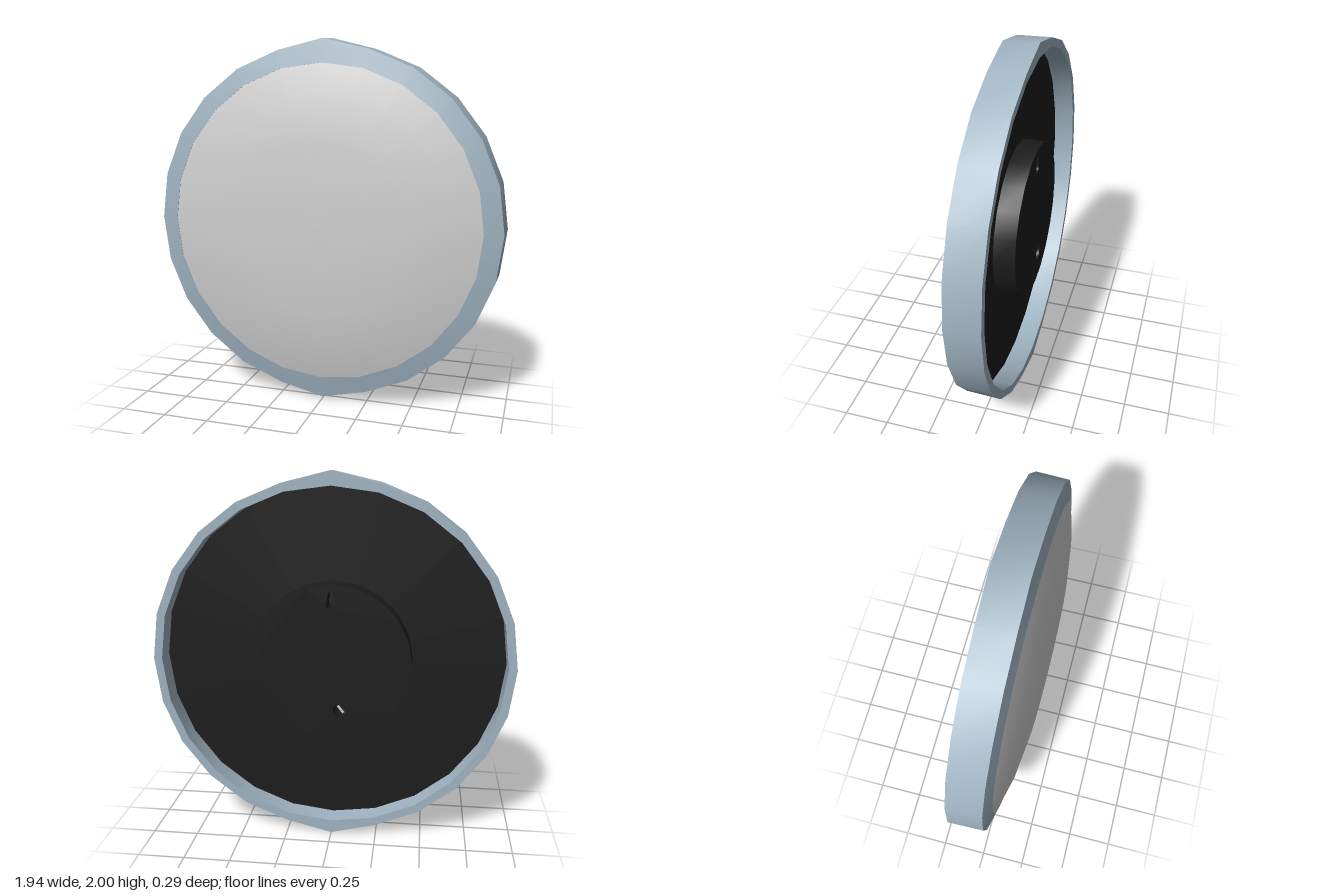
import * as THREE from 'three';
import { toCreasedNormals } from 'three/addons/utils/BufferGeometryUtils.js';

const SIDES = 24;
const rimBlue = new THREE.MeshStandardMaterial({ color: 0xa0b4c2 });
rimBlue.name = 'blueGreyRim';
const lensGrey = new THREE.MeshStandardMaterial({ color: 0xd0d0d0 });
lensGrey.name = 'paleLens';
const backBlack = new THREE.MeshStandardMaterial({ color: 0x1c1c1c });
backBlack.name = 'blackBack';

// Spins an (radius, z) profile about the z axis
function spin(profile, sides = SIDES) {
  const points = profile.map(([r, z]) => new THREE.Vector2(r, z));
  return new THREE.LatheGeometry(points, sides).rotateX(Math.PI / 2);
}

export function createModel() {
  const group = new THREE.Group();
  group.name = 'discLamp';
  const add = (name, geometry, material, x = 0, y = 1, z = 0) => {
    const mesh = new THREE.Mesh(geometry, material);
    mesh.name = name;
    mesh.position.set(x, y, z);
    group.add(mesh);
  };

  // Rim: outer wall, sloped front lip, hollow back
  const rim = spin([
    [0.97, -0.145], [0.965, 0.04], [0.865, 0.065], [0.865, 0.03],
    [0.925, 0.03], [0.925, -0.145], [0.97, -0.145],
  ]);
  // Outer wall peaks a little at the top and bottom seams
  const p = rim.attributes.position;
  for (let i = 0; i < p.count; i++) {
    if (Math.abs(p.getX(i)) < 0.01 && Math.abs(p.getY(i)) > 0.95) {
      p.setY(i, Math.sign(p.getY(i)) * (p.getZ(i) < 0 ? 1 : 0.99));
    }
  }
  add('rim', toCreasedNormals(rim, 0.6), rimBlue);

  // Shallow domed lens
  add('lens', spin([
    [0.875, 0.06], [0.7, 0.105], [0.48, 0.134], [0.22, 0.146], [0, 0.148],
  ]), lensGrey);

  // Recessed back plate
  add('backPlate', new THREE.CircleGeometry(0.93, SIDES).rotateY(Math.PI), backBlack, 0, 1, -0.03);

  // Raised mounting hub with a keyhole slot and a screw hole
  const shape = new THREE.Shape().absarc(0, 0, 0.43, 0, Math.PI * 2);
  const slot = new THREE.Path();
  slot.absarc(0, 0.32, 0.025, Math.PI, Math.PI * 2);
  slot.absarc(0, 0.375, 0.015, 0, Math.PI);
  slot.closePath();
  const hole = new THREE.Path().absarc(-0.05, -0.26, 0.04, 0, Math.PI * 2);
  shape.holes.push(slot, hole);
  const hub = new THREE.ExtrudeGeometry(shape, { depth: 0.115, bevelEnabled: false, curveSegments: 10 });
  add('mountingHub', toCreasedNormals(hub, 0.6), backBlack, 0, 1, -0.145);

  // Pale sliver seen inside the screw hole
  const sliver = new THREE.BoxGeometry(0.05, 0.012, 0.006).rotateZ(0.9);
  add('holeSliver', sliver, lensGrey, -0.05, 0.74, -0.12);

  return group;
}
